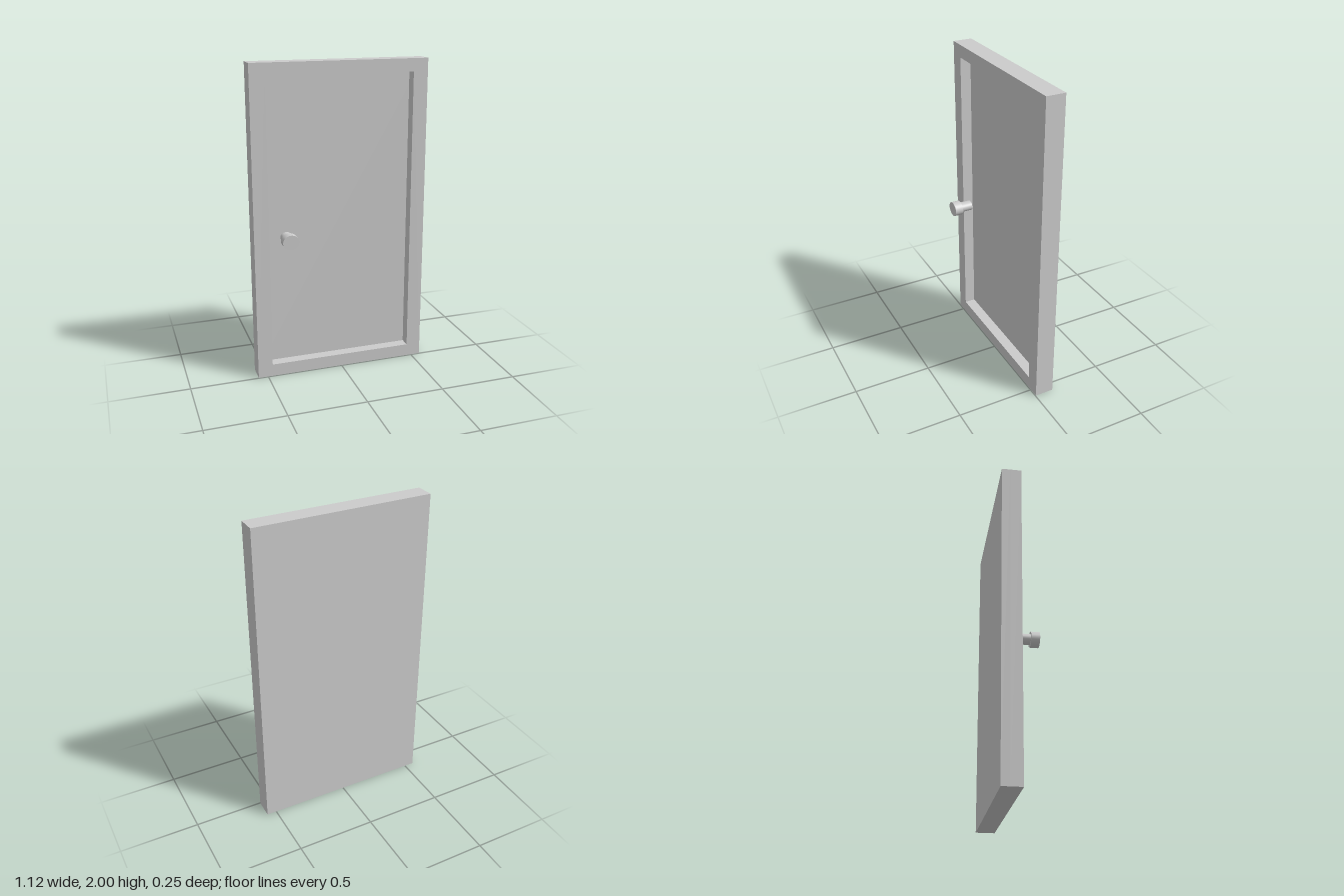
import * as THREE from 'three';

const WIDTH = 1.125, HEIGHT = 2;
const BACK = -0.125, PANEL = -0.073, FRONT = -0.004; // depth planes
const BORDER_X = 0.094, BORDER_Y = 0.08;

const material = new THREE.MeshStandardMaterial({ color: 0xcccccc });

function addMesh(parent, name, geometry) {
  const mesh = new THREE.Mesh(geometry, material);
  mesh.name = name;
  parent.add(mesh);
  return mesh;
}

// Elliptical cylinder along z, spanning z0 to z1
function addKnobPart(parent, name, rx, ry, z0, z1) {
  const geometry = new THREE.CylinderGeometry(1, 1, z1 - z0, 48);
  geometry.rotateX(Math.PI / 2).scale(rx, ry, 1);
  addMesh(parent, name, geometry).position.z = (z0 + z1) / 2;
}

export function createModel() {
  const door = new THREE.Group();
  door.name = 'door';

  // Back slab, whose front is the recessed panel
  const slab = new THREE.BoxGeometry(WIDTH, HEIGHT, PANEL - BACK);
  addMesh(door, 'panel', slab).position.set(0, HEIGHT / 2, (BACK + PANEL) / 2);

  // Raised rim around the panel
  const x = WIDTH / 2, ix = x - BORDER_X;
  const outline = new THREE.Shape([
    new THREE.Vector2(-x, 0), new THREE.Vector2(x, 0),
    new THREE.Vector2(x, HEIGHT), new THREE.Vector2(-x, HEIGHT),
  ]);
  outline.holes.push(new THREE.Path([
    new THREE.Vector2(-ix, BORDER_Y), new THREE.Vector2(-ix, HEIGHT - BORDER_Y),
    new THREE.Vector2(ix, HEIGHT - BORDER_Y), new THREE.Vector2(ix, BORDER_Y),
  ]));
  const rim = new THREE.ExtrudeGeometry(outline, { depth: FRONT - PANEL, bevelEnabled: false });
  addMesh(door, 'frame', rim).position.z = PANEL;

  // Knob: stem and wider head, slightly oval
  const knob = new THREE.Group();
  knob.name = 'knob';
  knob.position.set(-0.361, 0.938, 0);
  addKnobPart(knob, 'knobStem', 0.037, 0.031, -0.002, 0.073);
  addKnobPart(knob, 'knobHead', 0.052, 0.046, 0.073, 0.125);
  door.add(knob);

  return door;
}
